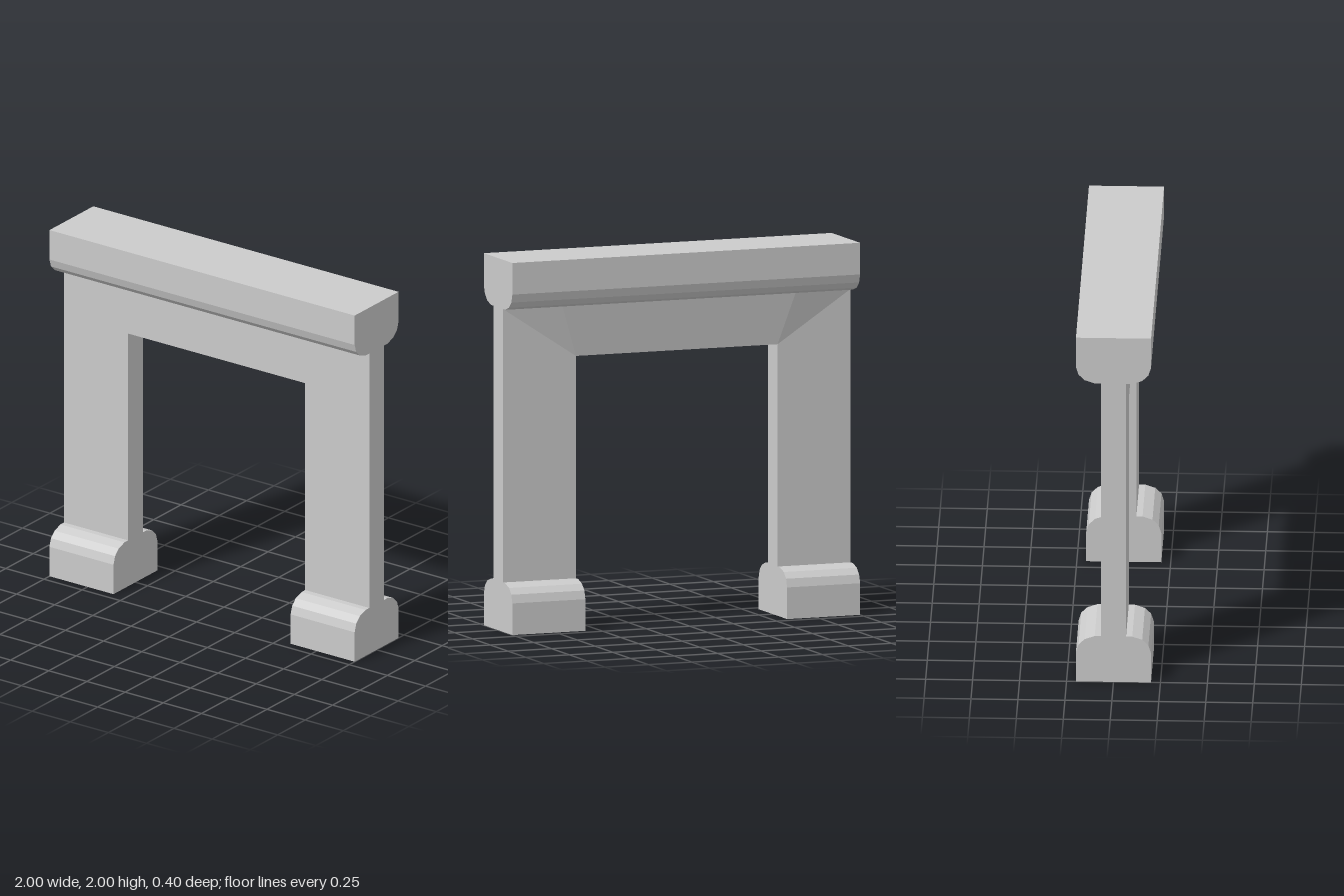
import * as THREE from 'three';

const material = new THREE.MeshStandardMaterial({ color: 0xcccccc, flatShading: true });

// Half widths (z) and heights of the rounded shoulder, measured from the flat end
const SHOULDER = [[0.2, 0.17], [0.186, 0.215], [0.153, 0.247], [0.1, 0.265]];
const WALL = 0.067, TOP = 1.735, OPEN_X = 0.58, OPEN_Y = 1.46;

function mesh(name, geometry) {
  const m = new THREE.Mesh(geometry, material);
  m.name = name;
  return m;
}

// Bar along x with flat foot at y = 0 and a rounded top, centred on x
function shoulderedBar(length) {
  const right = [[0.2, 0], ...SHOULDER];
  const left = right.map(([z, y]) => [-z, y]).reverse();
  const shape = new THREE.Shape([...right, ...left].map(([z, y]) => new THREE.Vector2(z, y)));
  return new THREE.ExtrudeGeometry(shape, { depth: length, bevelEnabled: false })
    .translate(0, 0, -length / 2)
    .rotateY(Math.PI / 2);
}

export function createModel() {
  const group = new THREE.Group();
  group.name = 'archway';

  // Two legs and the beam between them, cut as one slab
  const outline = [
    [-1, 0.265], [-OPEN_X, 0.265], [-OPEN_X, OPEN_Y], [OPEN_X, OPEN_Y],
    [OPEN_X, 0.265], [1, 0.265], [1, TOP], [-1, TOP],
  ];
  const slab = new THREE.Shape(outline.map(([x, y]) => new THREE.Vector2(x, y)));
  group.add(mesh('frame', new THREE.ExtrudeGeometry(slab, { depth: 2 * WALL, bevelEnabled: false })
    .translate(0, 0, -WALL)));

  // Cornice: the same profile turned upside down
  group.add(mesh('cornice', shoulderedBar(2).rotateX(Math.PI).translate(0, 2, 0)));

  // Foot blocks
  for (const [side, name] of [[1, 'leftFoot'], [-1, 'rightFoot']]) {
    group.add(mesh(name, shoulderedBar(1 - OPEN_X).translate(side * (1 + OPEN_X) / 2, 0, 0)));
  }

  // Sloping panel under the cornice at the back, with triangular ends
  const a = [-1, TOP, -WALL], b = [-0.67, TOP, -0.1], c = [0.67, TOP, -0.1];
  const d = [1, TOP, -WALL], e = [OPEN_X, OPEN_Y, -WALL], f = [-OPEN_X, OPEN_Y, -WALL];
  const panel = new THREE.BufferGeometry();
  panel.setAttribute('position', new THREE.Float32BufferAttribute(
    [a, b, f, b, c, e, b, e, f, c, d, e].flat(), 3));
  panel.computeVertexNormals();
  group.add(mesh('backPanel', panel));

  return group;
}
